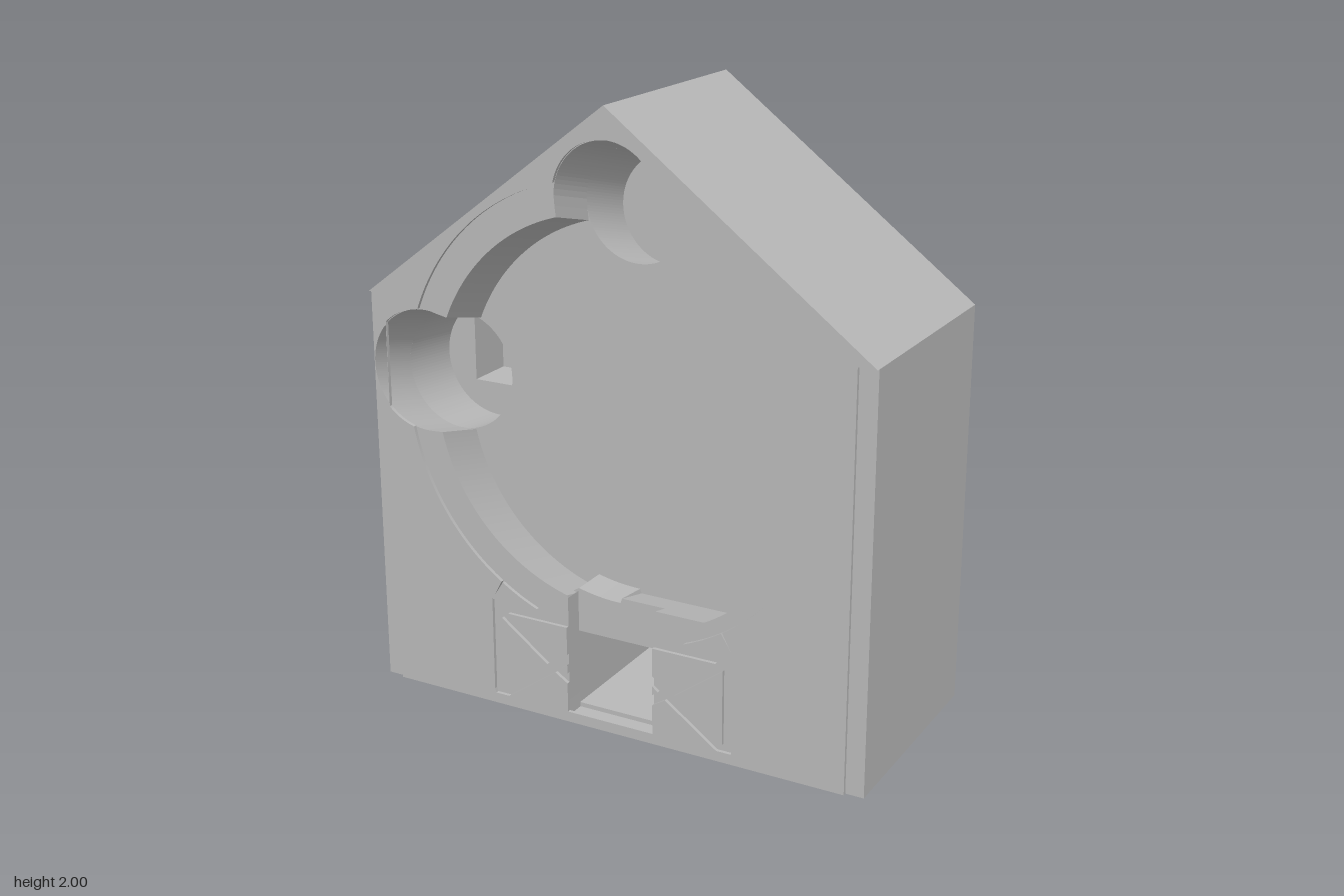
import * as THREE from 'three';

const W = 0.87, EAVE = 1.34, APEX = 2, FRONT = 0.385, SKIN = 0.012;
const CY = 1.05; // centre of the large round chamber

// distance from the chamber centre to the far side of a circle along a ray
const rayCircle = (ux, uy, cx, cy, r) => {
  const b = ux * cx + uy * (cy - CY);
  const d = b * b - cx * cx - (cy - CY) ** 2 + r * r;
  return d > 0 && b > 0 ? b + Math.sqrt(d) : 0;
};

// the same for a rectangle centred on x = 0
const rayBox = (ux, uy, hw, y0, y1) => {
  if (uy >= 0) return 0;
  const enter = (y1 - CY) / uy;
  const leave = Math.min((y0 - CY) / uy, hw / Math.max(Math.abs(ux), 1e-9));
  return leave > enter ? leave : 0;
};

// round chamber, wider on its left and cut level at the top and bottom there
const rayChamber = (ux, uy) => {
  if (ux < 0) return 0.63;
  const flat = uy > 0 ? 0.61 : 0.595;
  return Math.min(0.68, flat / Math.max(Math.abs(uy), 1e-9));
};

// joined outline of the chamber and everything that opens into it
function openingPath({ ring = false, door = false }) {
  const pts = [], n = 720;
  for (let i = 0; i < n; i++) {
    const a = (i / n) * Math.PI * 2, ux = Math.cos(a), uy = Math.sin(a);
    const r = Math.max(
      ring ? 0.73 : rayChamber(ux, uy),
      rayCircle(ux, uy, 0, 1.72, 0.18),
      rayCircle(ux, uy, -0.668, 1.105, 0.2),
      door ? rayBox(ux, uy, 0.155, 0.02, 0.46) : 0,
      ring ? rayBox(ux, uy, 0.435, 0.035, 0.37) : 0
    );
    const x = r * ux;
    pts.push(new THREE.Vector2(ring ? Math.max(x, -0.809) : x, CY + r * uy));
  }
  return new THREE.Path(pts);
}

const polygon = (pts, Type = THREE.Path) => new Type(pts.map(([x, y]) => new THREE.Vector2(x, y)));
const rectPath = (x0, x1, y0, y1) => polygon([[x0, y0], [x1, y0], [x1, y1], [x0, y1]]);
const circlePath = (x, y, r) => {
  const p = new THREE.Path();
  p.absarc(x, y, r, 0, Math.PI * 2);
  return p;
};
const houseOutline = [[-W, 0], [W, 0], [W, EAVE], [0, APEX], [-W, EAVE]];

export function createModel() {
  const group = new THREE.Group();
  group.name = 'houseBlock';
  const grey = new THREE.MeshStandardMaterial({ color: 0xb8b8b8 });
  grey.name = 'plain grey';

  // one slice of the block; lean(x) tilts the walls of its round holes downward
  function slice(name, outline, holes, zBack, zFront, lean = null, zRef = FRONT) {
    const shape = polygon(outline, THREE.Shape);
    shape.holes.push(...holes);
    const geo = new THREE.ExtrudeGeometry(shape, { depth: zFront - zBack, bevelEnabled: false, curveSegments: 64 });
    geo.translate(0, 0, zBack);
    if (lean) {
      const p = geo.attributes.position;
      for (let i = 0; i < p.count; i++) {
        const x = p.getX(i), y = p.getY(i);
        if (y > 0.44 && Math.hypot(x, y - CY) < 0.89) p.setY(i, y - lean(x) * (zRef - p.getZ(i)));
      }
      geo.computeVertexNormals();
    }
    const mesh = new THREE.Mesh(geo, grey);
    mesh.name = name;
    group.add(mesh);
  }

  const tunnel = () => rectPath(-0.155, 0.155, 0.035, 0.29);
  const z1 = FRONT - SKIN, z2 = 0.31, z3 = 0.185, z4 = -0.035, z5 = -0.2;
  const chamberLean = () => 0.25;

  // front skin, stopping short of the corner strips
  const P = 0.81;
  slice('frontFace',
    [[-P, 0], [P, 0], [P, EAVE], [W, EAVE], [0, APEX], [-W, EAVE], [-P, EAVE]],
    [openingPath({ ring: true })], z1, FRONT);

  // body slices from front to back
  slice('doorwayLayer', houseOutline, [openingPath({ door: true })], z2, z1, chamberLean);
  slice('chamberLayer', houseOutline, [openingPath({}), tunnel()], z3, z2, chamberLean);
  slice('roundPocketLayer', houseOutline,
    [circlePath(0, 1.67, 0.18), circlePath(-0.668, 1.055, 0.2), tunnel()],
    z4, z3, (x) => (x < -0.4 ? 0.1 : 0.25), z3);
  slice('squarePocketLayer', houseOutline, [rectPath(-0.76, -0.46, 0.945, 1.24), tunnel()], z5, z4);
  slice('backLayer', houseOutline, [tunnel()], -FRONT, z5);

  // panels standing between the engraved gate braces, on both sides of the door
  const panels = {
    gateSidePanel: [[0.4, 0.06], [0.4, 0.31], [0.23, 0.185]],
    gateTopPanel: [[0.155, 0.33], [0.155, 0.235], [0.2, 0.207], [0.375, 0.33]],
    gateBottomPanel: [[0.155, 0.035], [0.38, 0.035], [0.2, 0.163], [0.155, 0.135]],
    gateInnerPanel: [[0.155, 0.2], [0.155, 0.17], [0.175, 0.185]],
    gateShoulder: [[0.265, 0.37], [0.435, 0.37], [0.393, 0.435], [0.363, 0.417], [0.33, 0.399], [0.298, 0.384]],
  };
  for (const [name, pts] of Object.entries(panels)) {
    for (const s of [1, -1]) {
      slice(name + (s > 0 ? 'Left' : 'Right'), pts.map(([x, y]) => [s * x, y]), [], z1, FRONT);
    }
  }
  return group;
}
